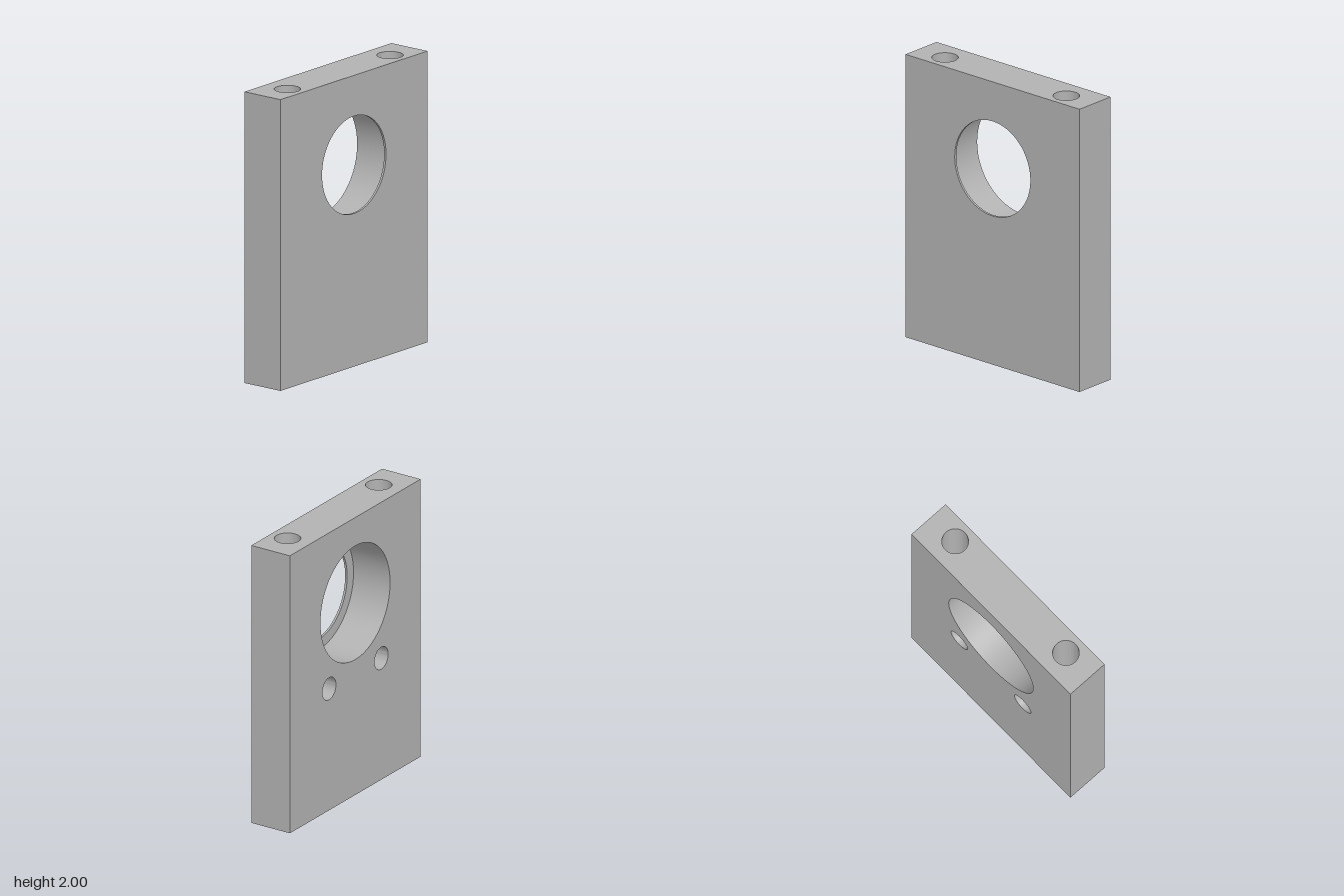
import * as THREE from 'three';
import { toCreasedNormals } from 'three/addons/utils/BufferGeometryUtils.js';

const W = 0.77, H = 2, D = 0.154;                         // half width, height, half depth
const BORE = { y: 1.386, front: 0.335, back: 0.41, lip: 0.016 };
const BOLT = { x: 0.537, z: 0.023, r: 0.088 };            // vertical through holes
const PIN = { x: 0.307, y: 0.876, r: 0.08, depth: 0.24 }; // blind holes in the back

export function createModel() {
  const model = new THREE.Group();
  model.name = 'mountingPlate';
  const metal = new THREE.MeshStandardMaterial({ color: 0xb2b2b2, side: THREE.DoubleSide });
  metal.name = 'grey metal';

  const add = (name, geometry, x = 0, y = 0, z = 0) => {
    const mesh = new THREE.Mesh(geometry, metal);
    mesh.name = name;
    mesh.position.set(x, y, z);
    model.add(mesh);
  };

  // Flat rectangle from (-hw, y0) to (hw, y1) with round holes [x, y, r]
  const face = (hw, y0, y1, holes = []) => {
    const shape = new THREE.Shape([[-hw, y0], [hw, y0], [hw, y1], [-hw, y1]]
      .map(([x, y]) => new THREE.Vector2(x, y)));
    for (const [x, y, r] of holes) {
      shape.holes.push(new THREE.Path().absarc(x, y, r, 0, Math.PI * 2, true));
    }
    return new THREE.ShapeGeometry(shape, 32);
  };

  // Inner wall of a hole, its profile listed from the mouth downwards
  const hole = (profile) => toCreasedNormals(
    new THREE.LatheGeometry(profile.map(([r, y]) => new THREE.Vector2(r, y)), 64), 0.6);

  // Outer faces
  const sides = [-1, 1];
  const pins = sides.map((s) => [s * PIN.x, PIN.y, PIN.r]);
  const bolts = (z) => sides.map((s) => [s * BOLT.x, z, BOLT.r]);
  add('frontFace', face(W, 0, H, [[0, BORE.y, BORE.front]]), 0, 0, D);
  add('backFace', face(W, 0, H, [[0, BORE.y, BORE.back], ...pins]).rotateY(Math.PI), 0, 0, -D);
  add('topFace', face(W, -D, D, bolts(-BOLT.z)).rotateX(-Math.PI / 2), 0, H, 0);
  add('bottomFace', face(W, -D, D, bolts(BOLT.z)).rotateX(Math.PI / 2));

  // Large bore, stepped down to a thin lip at the front
  add('steppedBore', hole([
    [BORE.back, D], [BORE.back, BORE.lip - D], [BORE.front, BORE.lip - D], [BORE.front, -D],
  ]).rotateX(-Math.PI / 2), 0, BORE.y, 0);

  // Mirrored side faces, bolt holes and pin holes
  for (const s of sides) {
    const side = s > 0 ? 'left' : 'right';
    add(side + 'Face', face(D, 0, H).rotateY(s * Math.PI / 2), s * W, 0, 0);
    add(side + 'BoltHole', hole([[BOLT.r, H], [BOLT.r, 0]]), s * BOLT.x, 0, BOLT.z);
    add(side + 'PinHole', hole([[PIN.r, 0], [PIN.r, -PIN.depth], [0, -PIN.depth]])
      .rotateX(-Math.PI / 2), s * PIN.x, PIN.y, -D);
  }
  return model;
}
